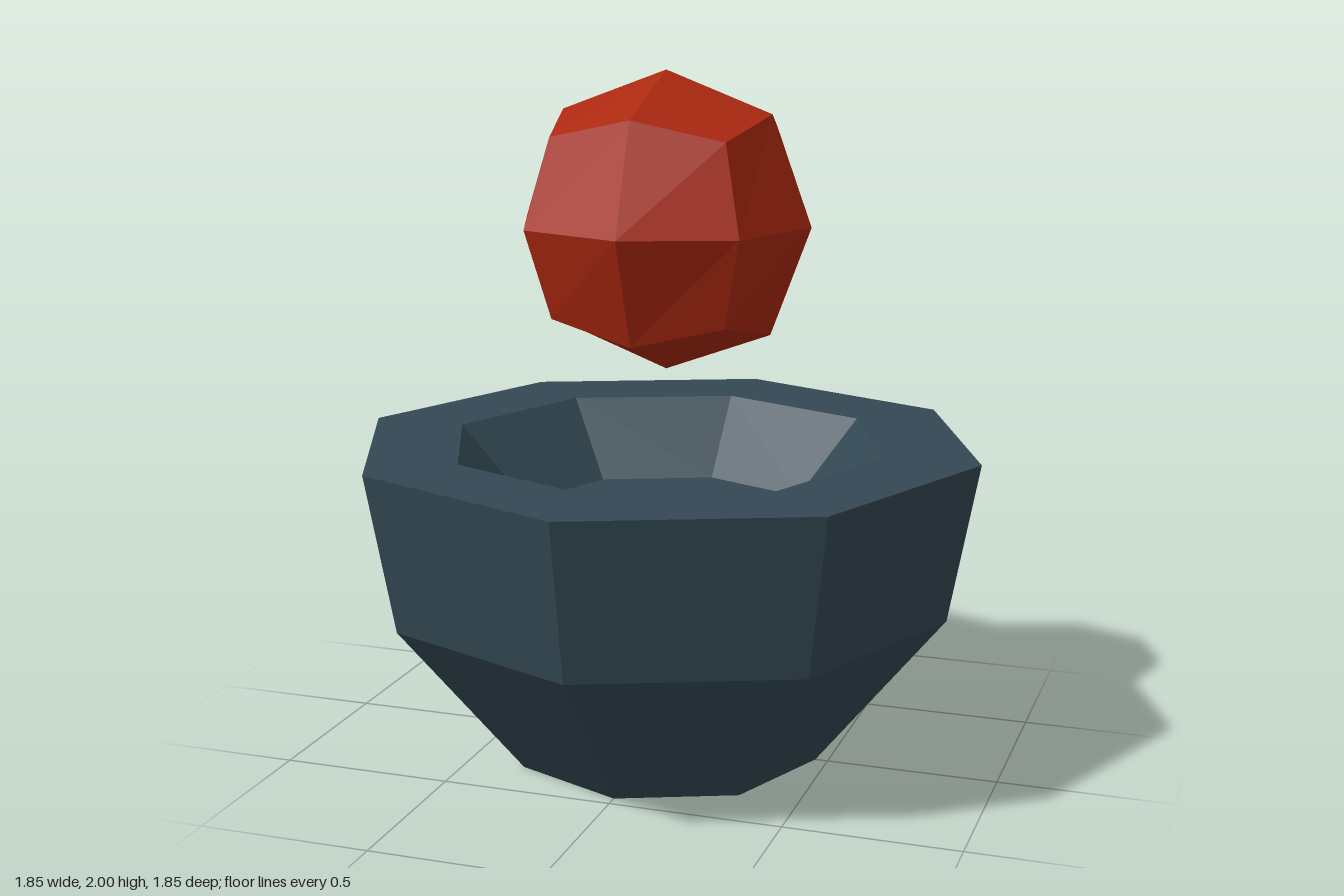
import * as THREE from 'three';

// One flat normal per face
function faceted(geometry) {
  const flat = geometry.index ? geometry.toNonIndexed() : geometry;
  flat.computeVertexNormals();
  return flat;
}

// Eight-sided bowl: outer wall, wide rim, shallow hollow
function makeBowl(material) {
  const profile = [
    [0, 0], [0.463, 0], [0.84, 0.467], [0.926, 0.93],
    [0.648, 0.93], [0.445, 0.71], [0, 0.71],
  ].map(([r, y]) => new THREE.Vector2(r, y));
  const bowl = new THREE.Mesh(faceted(new THREE.LatheGeometry(profile, 8)), material);
  bowl.name = 'bowl';
  return bowl;
}

// Cube with 2 x 2 faces per side, rounded out into a 24-faced ball
function makeBall(material) {
  const geometry = new THREE.BoxGeometry(2, 2, 2, 2, 2, 2);
  // offset along each axis for face centres, edge middles and corners
  const reach = [0, 0.4275, 0.311, 0.254];
  const pos = geometry.attributes.position;
  const v = new THREE.Vector3();
  for (let i = 0; i < pos.count; i++) {
    v.fromBufferAttribute(pos, i).round();
    const axes = Math.abs(v.x) + Math.abs(v.y) + Math.abs(v.z);
    v.multiplyScalar(reach[axes]);
    pos.setXYZ(i, v.x, v.y, v.z);
  }
  const ball = new THREE.Mesh(faceted(geometry), material);
  ball.name = 'ball';
  ball.position.y = 1.5725;
  return ball;
}

export function createModel() {
  const slate = new THREE.MeshStandardMaterial({ color: 0x334853 });
  slate.name = 'slate blue';
  const red = new THREE.MeshStandardMaterial({ color: 0xab2810 });
  red.name = 'brick red';

  const model = new THREE.Group();
  model.name = 'bowlAndBall';
  model.add(makeBowl(slate), makeBall(red));
  return model;
}
